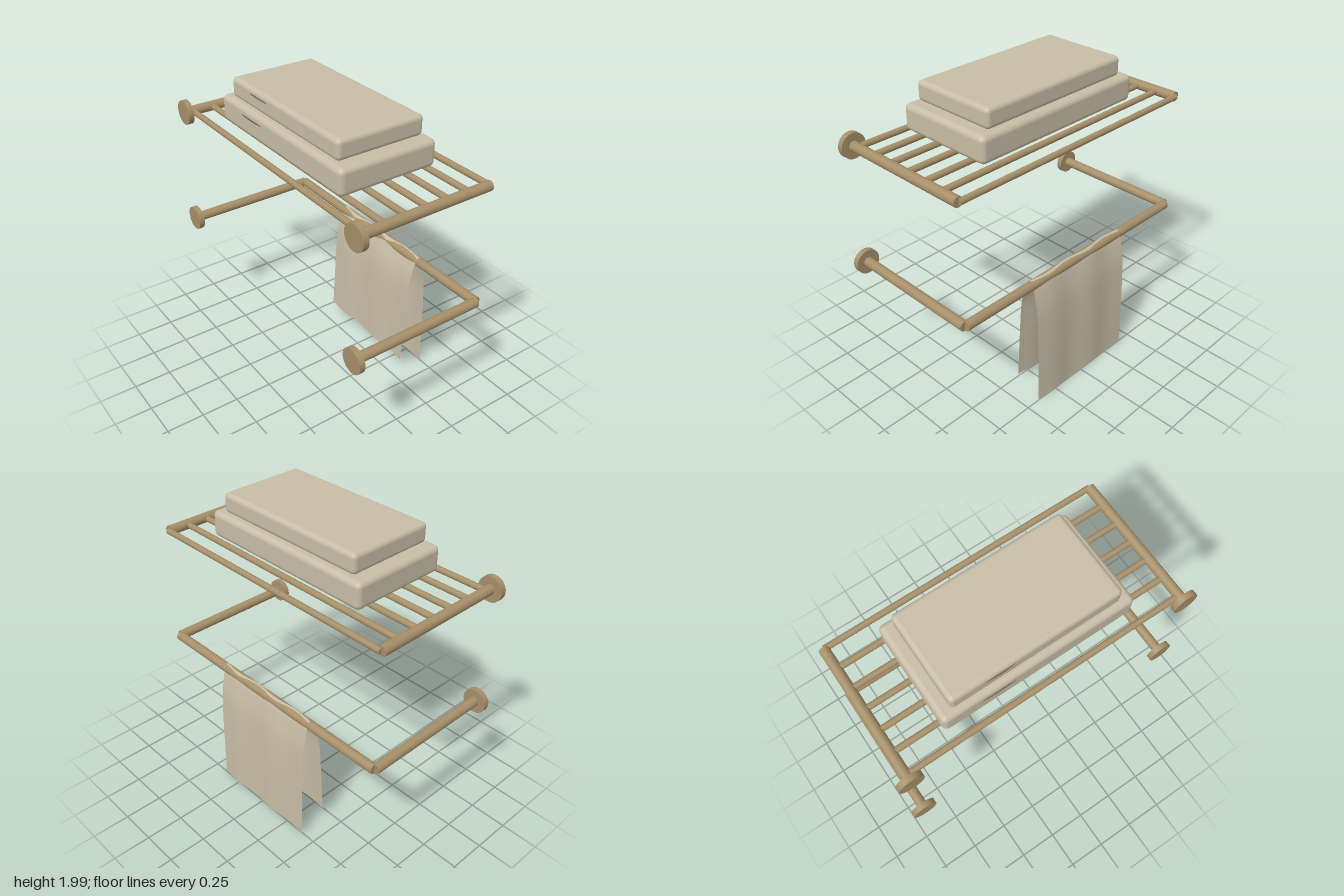
import * as THREE from 'three';
import { RoundedBoxGeometry } from 'three/addons/geometries/RoundedBoxGeometry.js';

const material = (name, color, side = THREE.FrontSide) => {
  const m = new THREE.MeshStandardMaterial({ color, side });
  m.name = name;
  return m;
};

export function createModel() {
  const bronze = material('bronze', 0xa68f69);
  const cloth = material('linen', 0xc8bda6, THREE.DoubleSide);
  const seam = material('seam', 0x6f6258);

  const model = new THREE.Group();
  model.name = 'towelRack';

  const add = (name, geometry, mat, x = 0, y = 0, z = 0, parent = model) => {
    const mesh = new THREE.Mesh(geometry, mat);
    mesh.name = name;
    mesh.position.set(x, y, z);
    parent.add(mesh);
    return mesh;
  };
  const rodX = (r, length) => new THREE.CylinderGeometry(r, r, length, 24).rotateZ(Math.PI / 2);
  const rodZ = (r, length, sides = 24) => new THREE.CylinderGeometry(r, r, length, sides).rotateX(Math.PI / 2);

  // Wall discs and side arms for both levels
  const shelfY = 1.66, railY = 0.865;
  for (const [level, y] of [['shelf', shelfY], ['rail', railY]]) {
    for (const [side, s] of [['Left', 1], ['Right', -1]]) {
      add(level + side + 'Disc', rodZ(0.08, 0.037, 48), bronze, s * 0.92, y, 0.4845);
      add(level + side + 'Arm', rodZ(0.032, 0.9), bronze, s * 0.92, y, 0.03);
    }
  }

  // Shelf slats
  for (let i = 0; i < 7; i++) {
    add('shelfSlat', rodX(0.0195, 1.835), bronze, 0, shelfY, 0.44 - i * 0.1437);
  }

  // Lower hanging rail
  add('hangingRail', rodX(0.031, 1.835), bronze, 0, railY, -0.424);

  // Folded towels, each with a short seam on its front
  const folded = [
    { name: 'lowerFoldedTowel', size: [1.25, 0.17, 0.66], y: 1.775, z: 0.042, r: 0.035, seam: [-0.38, -0.17, 1.81] },
    { name: 'upperFoldedTowel', size: [1.1, 0.128, 0.585], y: 1.925, z: 0.043, r: 0.03, seam: [-0.33, -0.15, 1.95] },
  ];
  for (const t of folded) {
    add(t.name, new RoundedBoxGeometry(...t.size, 5, t.r), cloth, 0, t.y, t.z);
    const [x0, x1, y] = t.seam;
    const front = t.z + t.size[2] / 2;
    const path = new THREE.QuadraticBezierCurve3(
      new THREE.Vector3(x0, y, front - 0.003),
      new THREE.Vector3((x0 + x1) / 2, y, front + 0.008),
      new THREE.Vector3(x1, y, front - 0.003));
    add(t.name + 'Seam', new THREE.TubeGeometry(path, 16, 0.004, 8), seam);
  }

  // Hanging towel: a draped profile (z, y) swept along x with soft ripples
  const drape = new THREE.SplineCurve([
    [-0.316, 0.1], [-0.33, 0.384], [-0.345, 0.647], [-0.363, 0.763], [-0.386, 0.835],
    [-0.405, 0.883], [-0.424, 0.897], [-0.44, 0.883],
    [-0.463, 0.795], [-0.484, 0.647], [-0.494, 0.384], [-0.499, 0],
  ].map(([z, y]) => new THREE.Vector2(z, y)));
  const sheet = new THREE.PlaneGeometry(0.8, 1, 48, 72);
  const p = sheet.attributes.position;
  for (let i = 0; i < p.count; i++) {
    const x = p.getX(i);
    const c = drape.getPoint(THREE.MathUtils.clamp(p.getY(i) + 0.5, 0, 1));
    p.setXYZ(i, x, c.y, c.x + 0.006 * Math.sin(18 * x));
  }
  sheet.computeVertexNormals();
  add('hangingTowel', sheet, cloth);

  return model;
}
